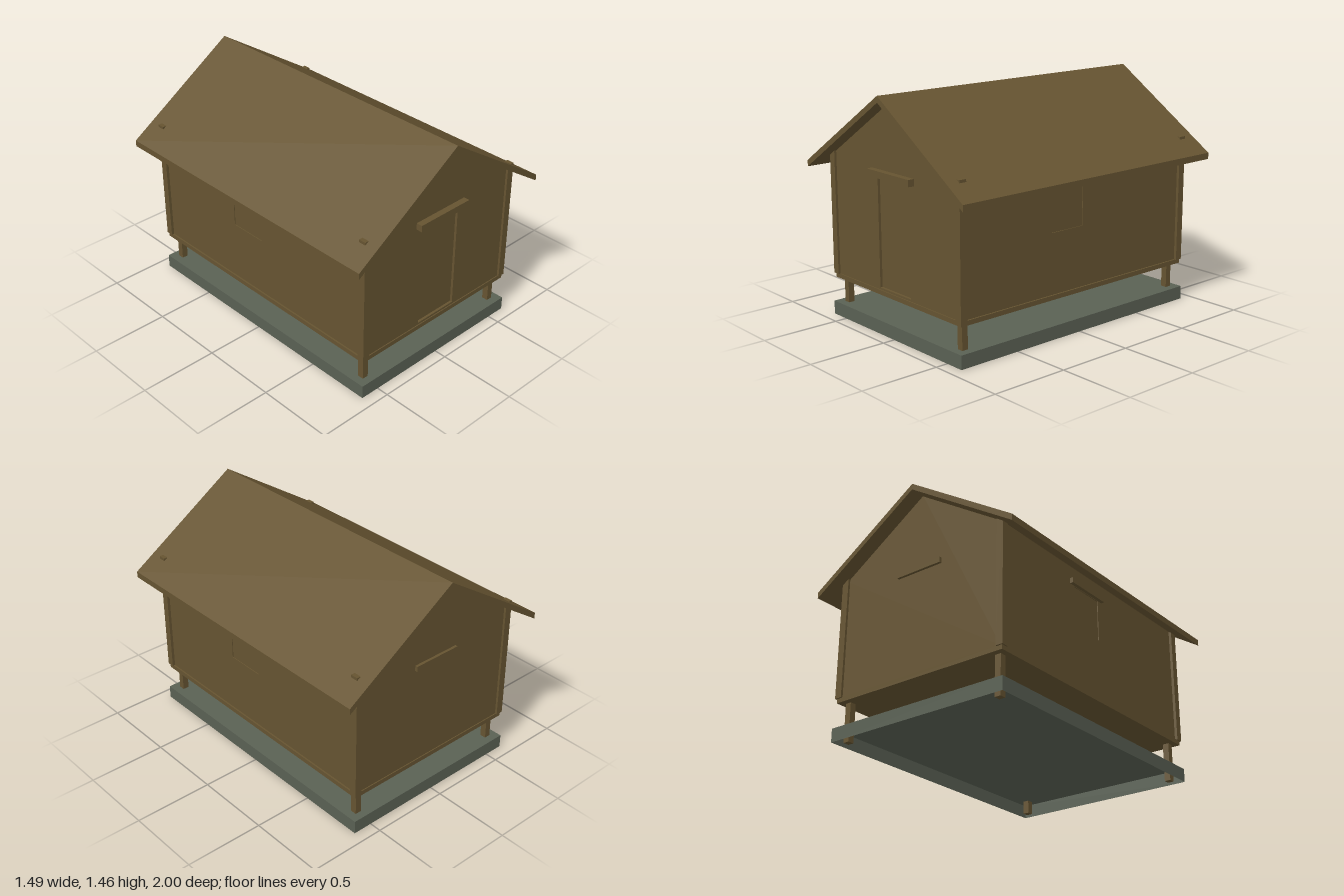
import * as THREE from 'three';

export function createModel() {
  const wood = new THREE.MeshStandardMaterial({ color: 0x665431 });
  wood.name = 'brown wood';
  const stone = new THREE.MeshStandardMaterial({ color: 0x5a6154, side: THREE.DoubleSide });
  stone.name = 'grey stone';

  const group = new THREE.Group();
  group.name = 'raisedHut';

  // Box given by its minimum and maximum corners
  const box = (name, mat, [x0, y0, z0], [x1, y1, z1]) => {
    const mesh = new THREE.Mesh(new THREE.BoxGeometry(x1 - x0, y1 - y0, z1 - z0), mat);
    mesh.position.set((x0 + x1) / 2, (y0 + y1) / 2, (z0 + z1) / 2);
    mesh.name = name;
    group.add(mesh);
    return mesh;
  };

  // Outline in x/y with an optional opening, extruded from z0 to z1
  const toVectors = (points) => points.map(([x, y]) => new THREE.Vector2(x, y));
  const prism = (name, points, z0, z1, opening) => {
    const shape = new THREE.Shape(toVectors(points));
    if (opening) shape.holes.push(new THREE.Path(toVectors(opening)));
    const geo = new THREE.ExtrudeGeometry(shape, { depth: z1 - z0, bevelEnabled: false });
    geo.translate(0, 0, z0);
    const mesh = new THREE.Mesh(geo, wood);
    mesh.name = name;
    group.add(mesh);
    return mesh;
  };
  const rect = (x0, y0, x1, y1) => [[x0, y0], [x1, y0], [x1, y1], [x0, y1]];

  // Foundation: a hollow slab, open underneath (the box's bottom face is dropped)
  const slab = box('foundationSlab', stone, [-0.626, 0, -0.922], [0.626, 0.085, 0.922]);
  const faces = Array.from(slab.geometry.index.array);
  faces.splice(18, 6);
  slab.geometry.setIndex(faces);
  slab.geometry.clearGroups();

  // Floor
  box('floor', wood, [-0.613, 0.243, -0.91], [0.613, 0.272, 0.91]);

  // Stilts, reaching down through the slab, and corner posts
  for (const sx of [-1, 1]) {
    for (const sz of [-1, 1]) {
      const stilt = box('stilt', wood, [-0.02, 0, -0.02], [0.02, 0.246, 0.02]);
      stilt.position.x = sx * 0.555;
      stilt.position.z = sz * 0.853;
      const post = box('cornerPost', wood, [-0.0235, 0.27, -0.0235], [0.0235, 1.077, 0.0235]);
      post.position.x = sx * 0.5975;
      post.position.z = sz * 0.895;
    }
  }

  // Solid body, with the front cladding open around the set-back door
  const gable = [[-0.598, 0.27], [0.598, 0.27], [0.598, 1.045], [0, 1.432], [-0.598, 1.045]];
  prism('walls', gable, -0.904, 0.888);
  prism('frontWall', gable, 0.888, 0.904, rect(-0.15, 0.285, 0.15, 0.956));

  // Front lintel and back rail
  box('doorLintel', wood, [-0.2, 0.966, 0.9], [0.2, 1.008, 0.944]);
  box('backLintel', wood, [-0.163, 0.916, -0.921], [0.163, 0.95, -0.9]);

  // Side cladding with a shallow window, turned half round for the other side
  for (const s of [-1, 1]) {
    const cladding = prism('sideWall', rect(-0.9, 0.27, 0.9, 1.04), 0.598, 0.603,
      rect(-0.218, 0.65, 0.032, 0.912));
    cladding.rotation.y = s * Math.PI / 2;
    const lintel = box('sideLintel', wood, [-0.0125, 0.916, -0.163], [0.0125, 0.95, 0.163]);
    lintel.position.x = s * 0.6125;
    lintel.position.z = s * 0.093;
  }

  // Pitched roof
  prism('roof', [
    [-0.747, 0.938], [0, 1.425], [0.747, 0.938],
    [0.747, 0.978], [0, 1.464], [-0.747, 0.978],
  ], -1, 1);

  return group;
}
